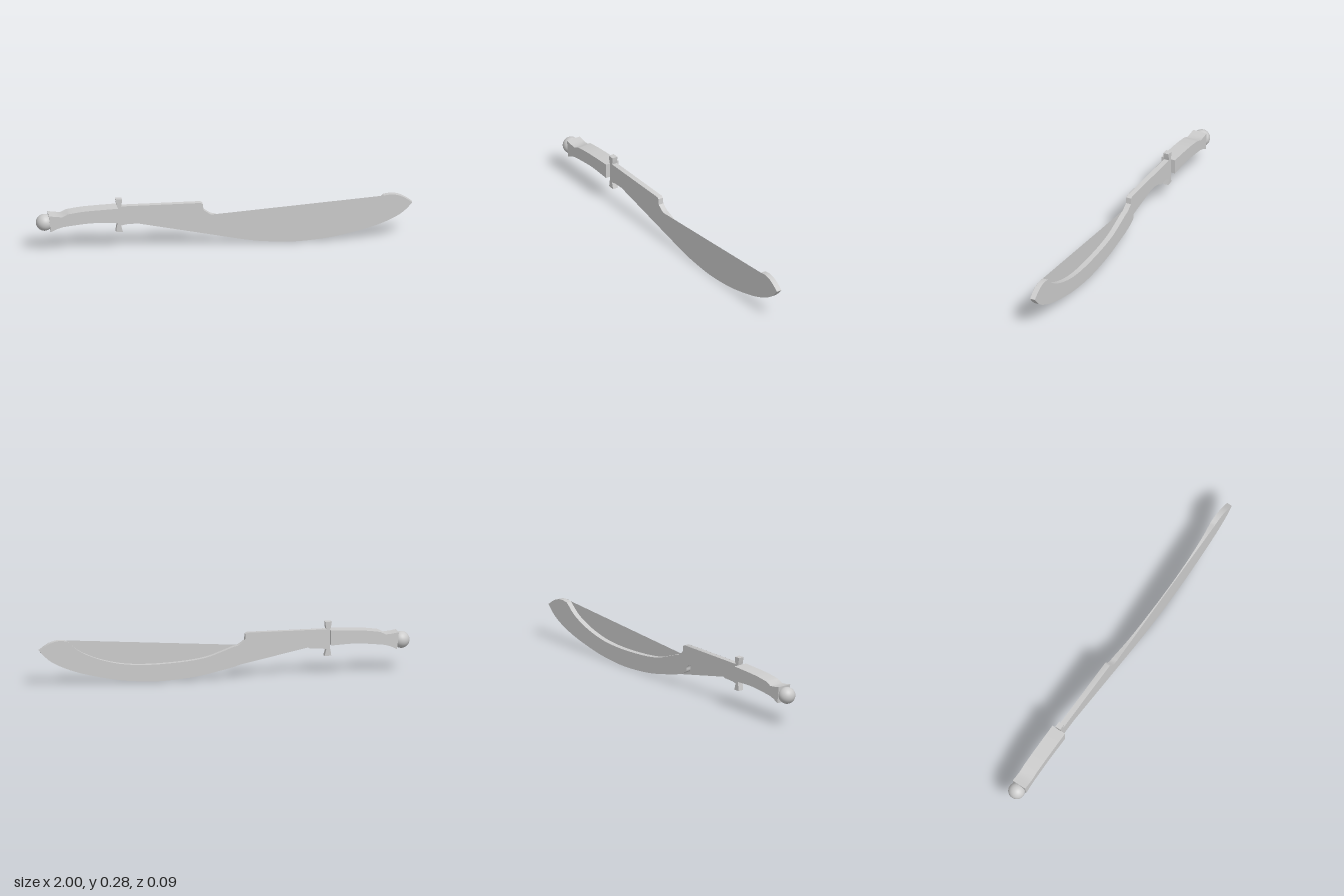
import * as THREE from 'three';
import { toCreasedNormals } from 'three/addons/utils/BufferGeometryUtils.js';

const grey = new THREE.MeshStandardMaterial({ color: 0xcccccc, side: THREE.DoubleSide });

const v2 = (pts) => pts.map(([x, y]) => new THREE.Vector2(x, y));
const shapeFrom = (...runs) => new THREE.Shape(runs.flat());
const smooth = (pts, n) => new THREE.SplineCurve(v2(pts)).getPoints(n);

// Plate of the given thickness, centred on z = 0
function plate(name, shape, depth) {
  const geo = new THREE.ExtrudeGeometry(shape, { depth, bevelEnabled: false, curveSegments: 8 });
  geo.translate(0, 0, -depth / 2);
  const mesh = new THREE.Mesh(toCreasedNormals(geo, 0.6), grey);
  mesh.name = name;
  return mesh;
}

export function createModel() {
  const group = new THREE.Group();
  group.name = 'curvedSword';
  const t = 0.029;

  // Outline runs shared by the blade and its front sheet
  const shoulder = v2([[-0.56, 0.24], [-0.125, 0.24], [-0.113, 0.232], [-0.11, 0.2], [-0.09, 0.185], [-0.07, 0.172]]);
  const tip = smooth([[0.85, 0.237], [0.9, 0.241], [0.95, 0.226], [1, 0.192]], 12);
  const belly = smooth([[1, 0.19], [0.95, 0.14], [0.88, 0.1], [0.77, 0.06], [0.6, 0.021], [0.47, 0.005],
    [0.35, 0], [0.2, 0.01], [0.1, 0.025]], 32);
  const heel = v2([[-0.46, 0.14], [-0.52, 0.138], [-0.56, 0.13]]);

  // Blade with hollow spine and hooked lower edge
  const spine = smooth([[-0.05, 0.168], [0.02, 0.142], [0.1, 0.116], [0.22, 0.099], [0.4, 0.091],
    [0.55, 0.101], [0.68, 0.133], [0.78, 0.178], [0.84, 0.228]], 28);
  const hook = smooth([[0.02, 0.043], [-0.06, 0.062], [-0.125, 0.088], [-0.14, 0.105], [-0.142, 0.125], [-0.16, 0.137]], 12);
  const lower = smooth([[-0.2, 0.15], [-0.29, 0.163], [-0.37, 0.166], [-0.43, 0.155]], 10);
  group.add(plate('blade', shapeFrom(shoulder, spine, tip, belly, hook, lower, heel), t));

  // Flat sheet on the front spanning the hollows
  const sheet = new THREE.Mesh(new THREE.ShapeGeometry(shapeFrom(shoulder, tip, belly, heel)), grey);
  sheet.name = 'frontSheet';
  sheet.position.z = t / 2 + 0.0005;
  group.add(sheet);

  // Guard with flared ends
  group.add(plate('guard', shapeFrom(v2([[-0.578, 0.28], [-0.543, 0.28], [-0.546, 0.25], [-0.55, 0.235],
    [-0.55, 0.14], [-0.545, 0.12], [-0.538, 0.095], [-0.575, 0.097], [-0.572, 0.12], [-0.568, 0.14],
    [-0.568, 0.235], [-0.573, 0.25]])), 0.031));

  // Curved grip
  const gripTop = smooth([[-0.835, 0.218], [-0.76, 0.228], [-0.68, 0.233], [-0.58, 0.237]], 10);
  const gripBottom = smooth([[-0.58, 0.157], [-0.7, 0.162], [-0.79, 0.155], [-0.86, 0.147]], 10);
  group.add(plate('grip', shapeFrom(v2([[-0.935, 0.212], [-0.9, 0.206], [-0.865, 0.203]]), gripTop,
    v2([[-0.568, 0.237], [-0.568, 0.157]]), gripBottom, v2([[-0.89, 0.138], [-0.925, 0.121]])), 0.08));

  // Ball pommel
  const pommel = new THREE.Mesh(new THREE.SphereGeometry(0.045, 32, 20), grey);
  pommel.name = 'pommel';
  pommel.position.set(-0.955, 0.164, 0);
  group.add(pommel);

  return group;
}
